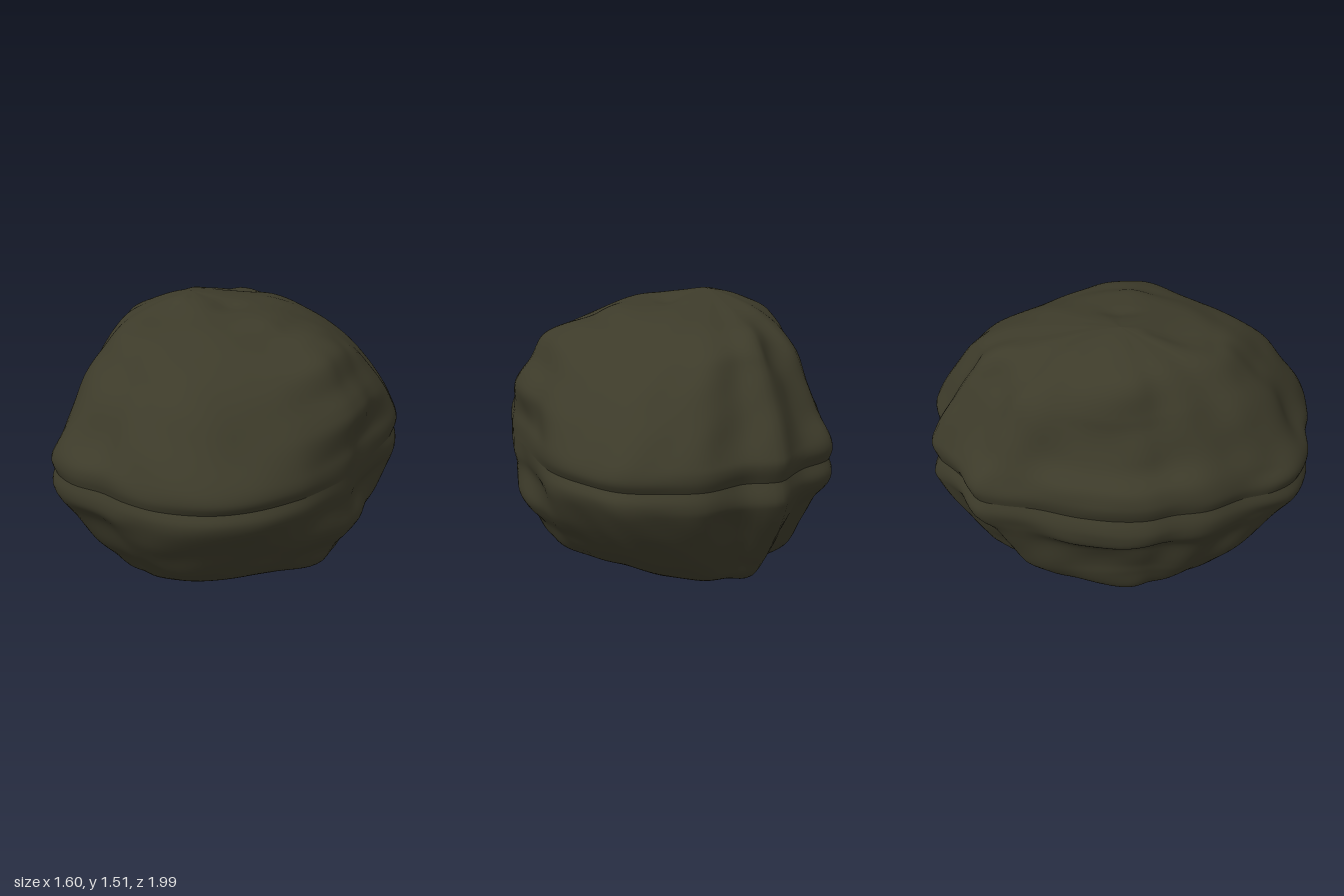
import * as THREE from 'three';

const SEAM = 0.755, AXIS_X = -0.22, COLS = 144, ROWS = 90;

// Plan outline of the shell as x, z pairs, running from the back round by the left side
const OUTLINE = [
  [0.12, -1], [0.3, -0.96], [0.5, -0.88], [0.63, -0.72], [0.74, -0.5], [0.77, -0.2], [0.78, 0],
  [0.8, 0.13], [0.77, 0.4], [0.74, 0.52], [0.63, 0.75], [0.48, 0.9], [0.25, 0.99], [0.05, 0.99],
  [-0.1, 0.96], [-0.28, 0.96], [-0.45, 0.89], [-0.54, 0.78], [-0.6, 0.62], [-0.7, 0.45],
  [-0.74, 0.28], [-0.79, 0.15], [-0.8, 0], [-0.77, -0.2], [-0.7, -0.42], [-0.67, -0.6],
  [-0.63, -0.71], [-0.45, -0.81], [-0.37, -0.88], [-0.28, -0.96], [-0.2, -0.96], [-0.1, -0.94],
];

// Profiles of the upper half, seam to crown, on its sides and corners: share of the outline, y
const PROFILES = {
  left: [[1, SEAM], [0.995, 0.84], [0.985, 0.91], [1, 1.03], [0.97, 1.1], [0.905, 1.18], [0.84, 1.3],
    [0.72, 1.36], [0.59, 1.39], [0.47, 1.44], [0.32, 1.455], [0.22, 1.455], [0.12, 1.485], [0, 1.51]],
  right: [[0.96, SEAM], [0.99, 0.8], [1, 0.85], [0.965, 0.92], [0.84, 0.98], [0.775, 1.05],
    [0.71, 1.16], [0.68, 1.24], [0.61, 1.35], [0.49, 1.42], [0.24, 1.48], [0, 1.51]],
  front: [[0.985, SEAM], [1, 0.81], [0.99, 0.87], [0.93, 0.95], [0.8, 1.12], [0.7, 1.23], [0.57, 1.37],
    [0.45, 1.41], [0.27, 1.45], [0.18, 1.475], [0.1, 1.5], [0, 1.51]],
  back: [[0.97, SEAM], [1, 0.83], [0.99, 0.89], [0.9, 1.05], [0.77, 1.24], [0.7, 1.33], [0.57, 1.4],
    [0.4, 1.435], [0.15, 1.49], [0, 1.51]],
  leftCorner: [[0.98, SEAM], [1, 0.81], [0.97, 0.9], [0.88, 1.05], [0.76, 1.2], [0.6, 1.33],
    [0.41, 1.42], [0.2, 1.475], [0, 1.51]],
  rightCorner: [[0.975, SEAM], [1, 0.82], [0.96, 0.91], [0.87, 1.02], [0.77, 1.15], [0.68, 1.27],
    [0.57, 1.36], [0.42, 1.43], [0.2, 1.485], [0, 1.51]],
};

// Dents (positive depth) and lumps (negative): x, y, z, radius, depth
const DENTS = [
  [0.5, 0.98, 0.68, 0.15, 0.02], [-0.5, 0.93, 0.75, 0.12, 0.025], [-0.25, 0.93, 0.88, 0.12, 0.02],
  [0.74, 0.96, -0.2, 0.13, 0.02], [0.55, 1.32, -0.3, 0.1, 0.015],
  [-0.4, 1.3, -0.62, 0.11, 0.03], [-0.42, 1.4, -0.42, 0.11, 0.03], [-0.58, 1.0, -0.66, 0.12, 0.025],
  [-0.35, 1.27, 0.6, 0.1, 0.015], [0.05, 1.0, -0.93, 0.15, 0.015],
  [-0.47, 1.12, 0.58, 0.12, -0.015], [-0.12, 1.2, 0.72, 0.12, -0.015],
  [-0.55, 1.22, -0.35, 0.13, -0.02],
];

// Upper half: a dome of meridians, each blended from the profiles of its nearest sides and corner
function shellGeometry() {
  const plan = new THREE.CatmullRomCurve3(OUTLINE.map(([x, z]) => new THREE.Vector3(x, 0, z)), true)
    .getSpacedPoints(COLS);
  const side = {};
  for (const [name, points] of Object.entries(PROFILES)) {
    side[name] = new THREE.SplineCurve(points.map(([r, y]) => new THREE.Vector2(r, y)))
      .getSpacedPoints(ROWS);
  }
  const pos = [], index = [], point = new THREE.Vector2();
  for (let j = 0; j <= ROWS; j++) {
    for (let i = 0; i < COLS; i++) {
      const dx = plan[i].x - AXIS_X, dz = plan[i].z;
      const flank = dx > 0 ? 'left' : 'right';
      const across = dx / (dx > 0 ? 1 : 0.58);
      const weight = dz * dz / (across * across + dz * dz);
      point.lerpVectors(side[flank][j], side[dz > 0 ? 'front' : 'back'][j], weight)
        .lerp(side[flank + 'Corner'][j], 4 * weight * (1 - weight));
      pos.push(AXIS_X + dx * point.x, point.y, dz * point.x);
      if (j < ROWS) {
        const a = j * COLS + i, b = j * COLS + (i + 1) % COLS;
        index.push(a, a + COLS, b, b, a + COLS, b + COLS);
      }
    }
  }
  const geo = new THREE.BufferGeometry();
  geo.setAttribute('position', new THREE.Float32BufferAttribute(pos, 3));
  geo.setIndex(index);
  geo.computeVertexNormals();
  roughen(geo);
  geo.computeVertexNormals();
  return geo;
}

// Push the surface in and out along its normals, fading out at the seam and the crown
function roughen(geo) {
  const p = geo.attributes.position, n = geo.attributes.normal;
  const v = new THREE.Vector3(), d = new THREE.Vector3();
  for (let i = 0; i < p.count; i++) {
    v.fromBufferAttribute(p, i);
    d.fromBufferAttribute(n, i);
    const fade = THREE.MathUtils.smoothstep(v.y, SEAM, SEAM + 0.14)
      * (1 - THREE.MathUtils.smoothstep(v.y, 1.4, 1.5));
    let h = 0.007 * Math.sin(12 * v.x + 7 * v.y) * Math.sin(10 * v.z - 8 * v.y + 1)
      + 0.003 * Math.sin(19 * v.z + 11 * v.x) * Math.sin(17 * v.y + 9 * v.x + 2);
    for (const [x, y, z, r, depth] of DENTS) {
      const q = (v.x - x) ** 2 + (v.y - y) ** 2 + (v.z - z) ** 2;
      h -= depth * Math.exp(-q / (r * r));
    }
    v.addScaledVector(d, h * fade);
    p.setXYZ(i, v.x, v.y, v.z);
  }
}

// Mirror a half across the seam plane and turn its faces back outwards
function mirrored(geo) {
  const g = geo.clone(), p = g.attributes.position, ix = g.index;
  for (let i = 0; i < p.count; i++) p.setY(i, 2 * SEAM - p.getY(i));
  for (let i = 0; i < ix.count; i += 3) {
    const b = ix.getX(i + 1);
    ix.setX(i + 1, ix.getX(i + 2));
    ix.setX(i + 2, b);
  }
  g.computeVertexNormals();
  return g;
}

export function createModel() {
  const group = new THREE.Group();
  group.name = 'rock';
  const material = new THREE.MeshStandardMaterial({ color: 0x3d3b2a });
  const upper = shellGeometry();
  for (const [name, geo] of [['upperHalf', upper], ['lowerHalf', mirrored(upper)]]) {
    const mesh = new THREE.Mesh(geo, material);
    mesh.name = name;
    group.add(mesh);
  }
  return group;
}
